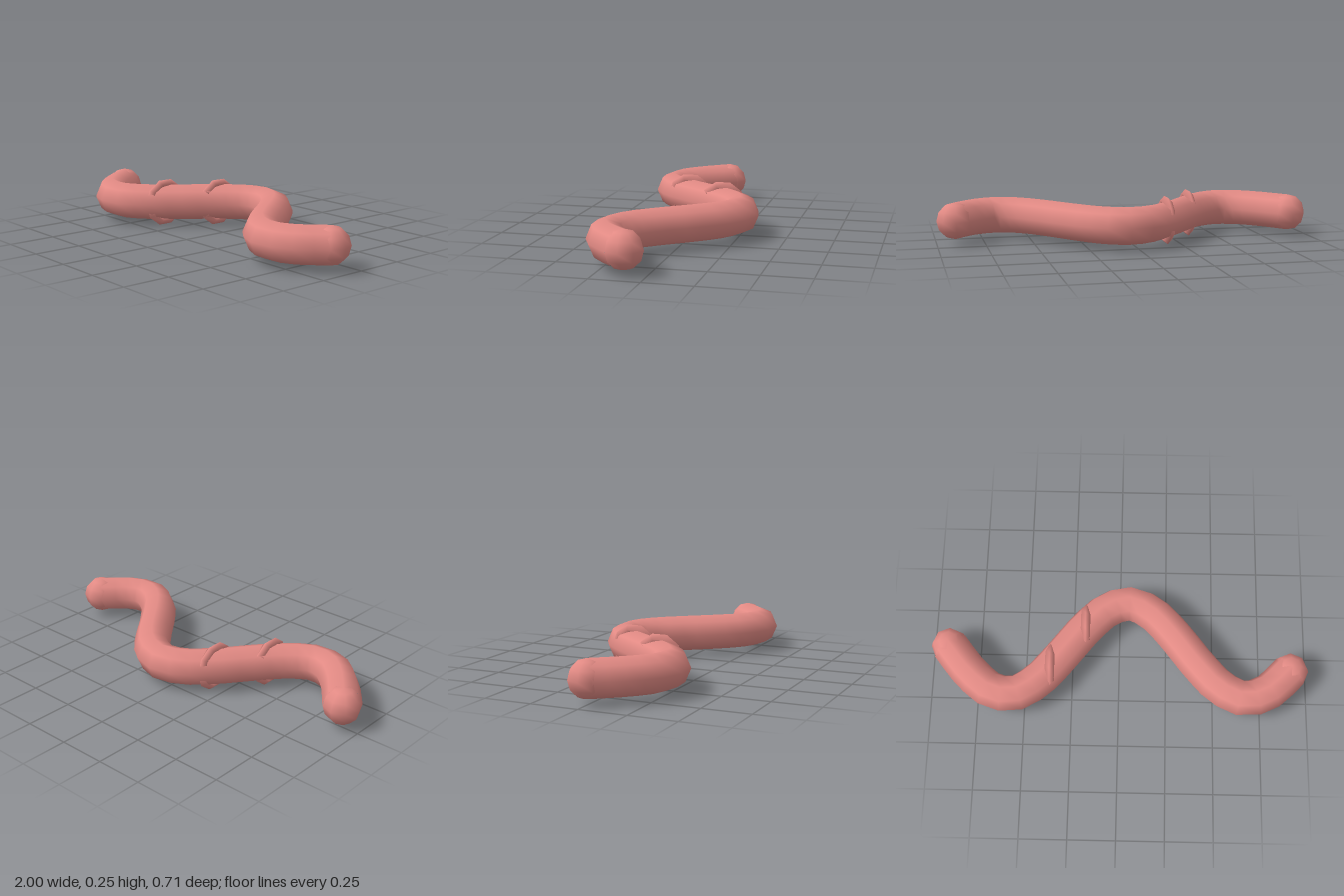
import * as THREE from 'three';

export function createModel() {
  const group = new THREE.Group();
  const pink = new THREE.MeshStandardMaterial({ color: 0xe28a84 });
  pink.name = 'pink skin';

  const radius = 0.0975, midY = 0.123;
  // Point on the wriggling centre line, i from 0 to 15
  const at = (i) => new THREE.Vector3(-0.9025 + 0.12033 * i, midY, 0.262 * Math.sin(0.6 * i));

  const add = (name, geometry, position) => {
    const mesh = new THREE.Mesh(geometry, pink);
    mesh.name = name;
    if (position) mesh.position.copy(position);
    group.add(mesh);
    return mesh;
  };

  // Wavy body
  const path = new THREE.CatmullRomCurve3(Array.from({ length: 16 }, (_, i) => at(i)));
  add('body', new THREE.TubeGeometry(path, 30, radius, 8, false));

  // Rounded ends
  const ball = new THREE.SphereGeometry(radius, 8, 6);
  add('rightEnd', ball, at(0));
  add('leftEnd', ball, at(15));

  // Two raised rings, lying across x
  const ring = new THREE.TorusGeometry(0.1045, 0.0248, 4, 10);
  [4.5, 6].forEach((i, n) => {
    const p = new THREE.Vector3(at(i).x, midY, 0.262 * Math.sin(0.6 * i));
    add('ring' + (n + 1), ring, p).rotation.y = Math.PI / 2;
  });

  return group;
}
